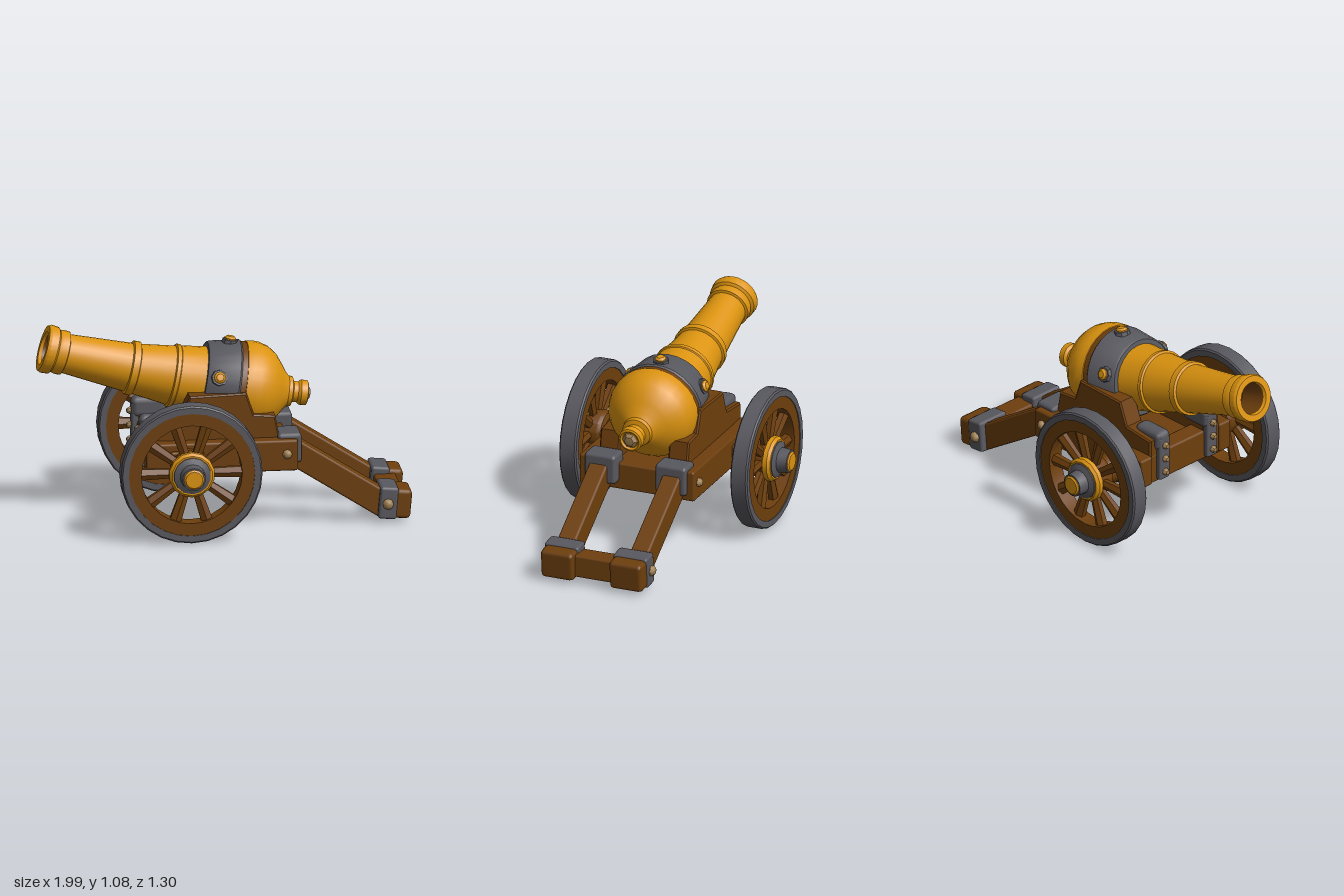
import * as THREE from 'three';
import { toCreasedNormals } from 'three/addons/utils/BufferGeometryUtils.js';
import { RoundedBoxGeometry } from 'three/addons/geometries/RoundedBoxGeometry.js';

const mat = (name, color, side = THREE.FrontSide) => {
  const m = new THREE.MeshStandardMaterial({ color, side });
  m.name = name;
  return m;
};

export function createModel() {
  const gold = mat('gold', 0xdb930f);
  const wood = mat('wood', 0x6e3f0d);
  const iron = mat('iron', 0x58585f);
  const rivetTan = mat('rivet tan', 0xa08052);
  const model = new THREE.Group();
  model.name = 'cannon';

  const add = (parent, name, geo, material) => {
    const mesh = new THREE.Mesh(geo, material);
    mesh.name = name;
    parent.add(mesh);
    return mesh;
  };
  // Box given by its minimum and maximum on each axis
  const box = (parent, name, material, x0, x1, y0, y1, z0, z1, r = 0.012) => {
    const mesh = add(parent, name, new RoundedBoxGeometry(x1 - x0, y1 - y0, Math.abs(z1 - z0), 1, r), material);
    mesh.position.set((x0 + x1) / 2, (y0 + y1) / 2, (z0 + z1) / 2);
    return mesh;
  };
  const lathe = (pts, segments) =>
    new THREE.LatheGeometry(pts.map(([r, y]) => new THREE.Vector2(r, y)), segments);

  // ---- Barrel: straight lathe along x, bent onto a gently curved axis
  const bend = (geo) => {
    const p = geo.attributes.position;
    for (let i = 0; i < p.count; i++) {
      const x = p.getX(i), y = p.getY(i);
      const slope = -0.18 + 0.123 * x, n = Math.hypot(1, slope);
      p.setXY(i, x - (y * slope) / n, 0.735 - 0.18 * x + 0.0615 * x * x + y / n);
    }
    return toCreasedNormals(geo, 0.6);
  };
  // Profile points are [station along x, radius], running from breech to muzzle
  const turned = (pts, segments = 28) =>
    bend(lathe(pts.map(([x, r]) => [r, -x]), segments).rotateZ(Math.PI / 2));

  const barrel = new THREE.Group();
  barrel.name = 'barrel';
  model.add(barrel);
  add(barrel, 'barrelBody', turned([
    [0.45, 0], [0.45, 0.045], [0.46, 0.055], [0.455, 0.066], [0.42, 0.068], [0.405, 0.056], [0.38, 0.056],
    [0.372, 0.08], [0.35, 0.084], [0.33, 0.105], [0.3, 0.15], [0.265, 0.195], [0.22, 0.228],
    [0.17, 0.245], [0.13, 0.248], [0.095, 0.244], [0.09, 0.22], [-0.1, 0.185], [-0.25, 0.166],
    [-0.255, 0.172], [-0.275, 0.172], [-0.28, 0.16], [-0.465, 0.136], [-0.47, 0.148],
    [-0.505, 0.146], [-0.51, 0.132], [-0.845, 0.106], [-0.85, 0.119], [-0.88, 0.12],
    [-0.9, 0.114], [-0.91, 0.128], [-0.95, 0.132], [-0.965, 0.124], [-0.965, 0.09], [-0.95, 0.084],
  ]), gold);
  add(barrel, 'bore', turned([[-0.952, 0.085], [-0.8, 0.075], [-0.8, 0]]
    .map(([x, r]) => [x, r])), wood);
  add(barrel, 'woodBand', turned([[0.1, 0.2], [0.1, 0.24], [0.06, 0.238], [0.06, 0.2]]), wood);
  add(barrel, 'ironBand', turned([
    [0.065, 0.2], [0.065, 0.238], [0.055, 0.246], [-0.105, 0.216], [-0.115, 0.208], [-0.115, 0.17],
  ]), iron);
  add(barrel, 'breechNub', turned([[0.476, 0], [0.472, 0.028], [0.455, 0.045], [0.44, 0.045]], 6), rivetTan);

  // Bolts around the iron band
  for (const [x, angle, r] of [[-0.055, 1.2, 0.222], [-0.055, -1.2, 0.222], [0, 0, 0.234]]) {
    const place = (geo) => bend(geo.rotateX(angle).translate(x, 0, 0));
    add(barrel, 'bandBoltCollar', place(new THREE.CylinderGeometry(0.042, 0.046, 0.03, 8).translate(0, r, 0)), iron);
    add(barrel, 'bandBoltHead', place(lathe([[0.032, r], [0.032, r + 0.022], [0.02, r + 0.032], [0, r + 0.033]], 8)), gold);
  }

  // ---- Carriage
  const carriage = new THREE.Group();
  carriage.name = 'carriage';
  model.add(carriage);
  box(carriage, 'frontCrossbeam', wood, -0.44, -0.33, 0.33, 0.5, -0.3, 0.3);
  box(carriage, 'rearCrossbeam', wood, 0.22, 0.34, 0.32, 0.47, -0.3, 0.3);
  box(carriage, 'floor', wood, -0.4, 0.28, 0.42, 0.47, -0.29, 0.29);
  box(carriage, 'axleBeam', wood, -0.32, -0.14, 0.32, 0.46, -0.36, 0.36);

  // Stepped cheek outline
  const cheekShape = new THREE.Shape([
    [-0.43, 0.44], [0.28, 0.44], [0.25, 0.61], [0.135, 0.62], [0.095, 0.74],
    [-0.2, 0.73], [-0.25, 0.6], [-0.43, 0.58],
  ].map(([x, y]) => new THREE.Vector2(x, y)));
  const rivet = (parent, x, y, z, axis, s, r = 0.026) => {
    const geo = lathe([[r, -0.01], [r, 0.008], [r * 0.6, 0.022], [0, 0.026]], 8);
    if (axis === 'z') geo.rotateX((s * Math.PI) / 2);
    else geo.rotateZ((s * -Math.PI) / 2);
    add(parent, 'rivet', toCreasedNormals(geo, 0.7), rivetTan).position.set(x, y, z);
  };

  for (const s of [1, -1]) {
    box(carriage, 'sideBeam', wood, -0.45, 0.37, 0.33, 0.5, s * 0.25, s * 0.335);
    const cheek = add(carriage, 'cheek', new THREE.ExtrudeGeometry(cheekShape, {
      depth: 0.1, bevelSize: 0.008, bevelThickness: 0.008, bevelSegments: 1,
    }), wood);
    cheek.position.z = s * 0.2 - 0.05;

    // Iron strap over the front end, with rivets
    box(carriage, 'frontCap', iron, -0.47, -0.28, 0.52, 0.63, s * 0.13, s * 0.225, 0.03);
    box(carriage, 'frontStrap', iron, -0.47, -0.43, 0.345, 0.6, s * 0.14, s * 0.215);
    for (const y of [0.39, 0.47, 0.55]) rivet(carriage, -0.47, y, s * 0.178, 'x', -1, 0.02);
    rivet(carriage, -0.38, 0.57, s * 0.225, 'z', s, 0.022);

    // Rear bracket holding the trail
    box(carriage, 'rearBracket', iron, 0.265, 0.395, 0.36, 0.525, s * 0.115, s * 0.297, 0.02);
    rivet(carriage, 0.31, 0.425, s * 0.335, 'z', s);

    // Sloping trail beam and its foot
    const trail = add(carriage, 'trailBeam', new RoundedBoxGeometry(0.64, 0.14, 0.105, 1, 0.012), wood);
    trail.position.set(0.6, 0.255, s * 0.213);
    trail.rotation.z = -0.57;
    const foot = new THREE.Group();
    foot.name = 'trailFoot';
    foot.position.set(0.9, 0.113, s * 0.2);
    foot.rotation.z = -0.09;
    carriage.add(foot);
    box(foot, 'footBlock', wood, -0.08, 0.086, -0.08, 0.08, -0.095, 0.095, 0.022);
    box(foot, 'footStrap', iron, -0.088, 0.012, -0.086, 0.09, -0.1, 0.1, 0.015);
    rivet(foot, -0.042, 0, s * 0.1, 'z', s, 0.03);
  }
  box(carriage, 'trailCrossbar', wood, 0.83, 0.95, 0.045, 0.17, -0.14, 0.14);

  // ---- Wheels, axis along z
  const axial = (pts, segments) => toCreasedNormals(lathe(pts, segments).rotateX(Math.PI / 2), 0.6);
  const ring = (r0, r1, z0, z1, b) => axial([
    [r0, z0], [r1 - b, z0], [r1, z0 + b], [r1, z1 - b], [r1 - b, z1], [r0, z1], [r0, z0],
  ], 28);
  for (const s of [1, -1]) {
    const wheel = new THREE.Group();
    wheel.name = s > 0 ? 'leftWheel' : 'rightWheel';
    wheel.position.set(-0.23, 0.388, 0);
    if (s < 0) wheel.rotation.y = Math.PI;
    model.add(wheel);
    add(wheel, 'tyre', ring(0.34, 0.382, 0.45, 0.548, 0.008), iron);
    add(wheel, 'rim', ring(0.272, 0.345, 0.455, 0.543, 0), wood);
    for (let i = 0; i < 10; i++) {
      const a = ((i + 0.5) / 10) * Math.PI * 2;
      const spoke = add(wheel, 'spoke', toCreasedNormals(
        new THREE.CylinderGeometry(0.036, 0.026, 0.22, 6).scale(1, 1, 0.85), 0.5), wood);
      spoke.position.set(Math.sin(a) * 0.18, Math.cos(a) * 0.18, 0.5);
      spoke.rotation.z = -a;
    }
    add(wheel, 'axleArm', axial([[0.09, 0.34], [0.07, 0.42], [0.1, 0.43], [0.11, 0.45], [0.11, 0.53], [0, 0.53]], 14), wood);
    add(wheel, 'hubRing', axial([[0.11, 0.52], [0.124, 0.525], [0.124, 0.55], [0.11, 0.565], [0, 0.565]], 14), gold);
    add(wheel, 'hubCollar', axial([[0.102, 0.56], [0.1, 0.57], [0.068, 0.582], [0.063, 0.64], [0, 0.64]], 14), iron);
    add(wheel, 'axleCap', axial([[0.055, 0.635], [0.055, 0.643], [0.046, 0.65], [0, 0.65]], 12), gold);
  }
  return model;
}
